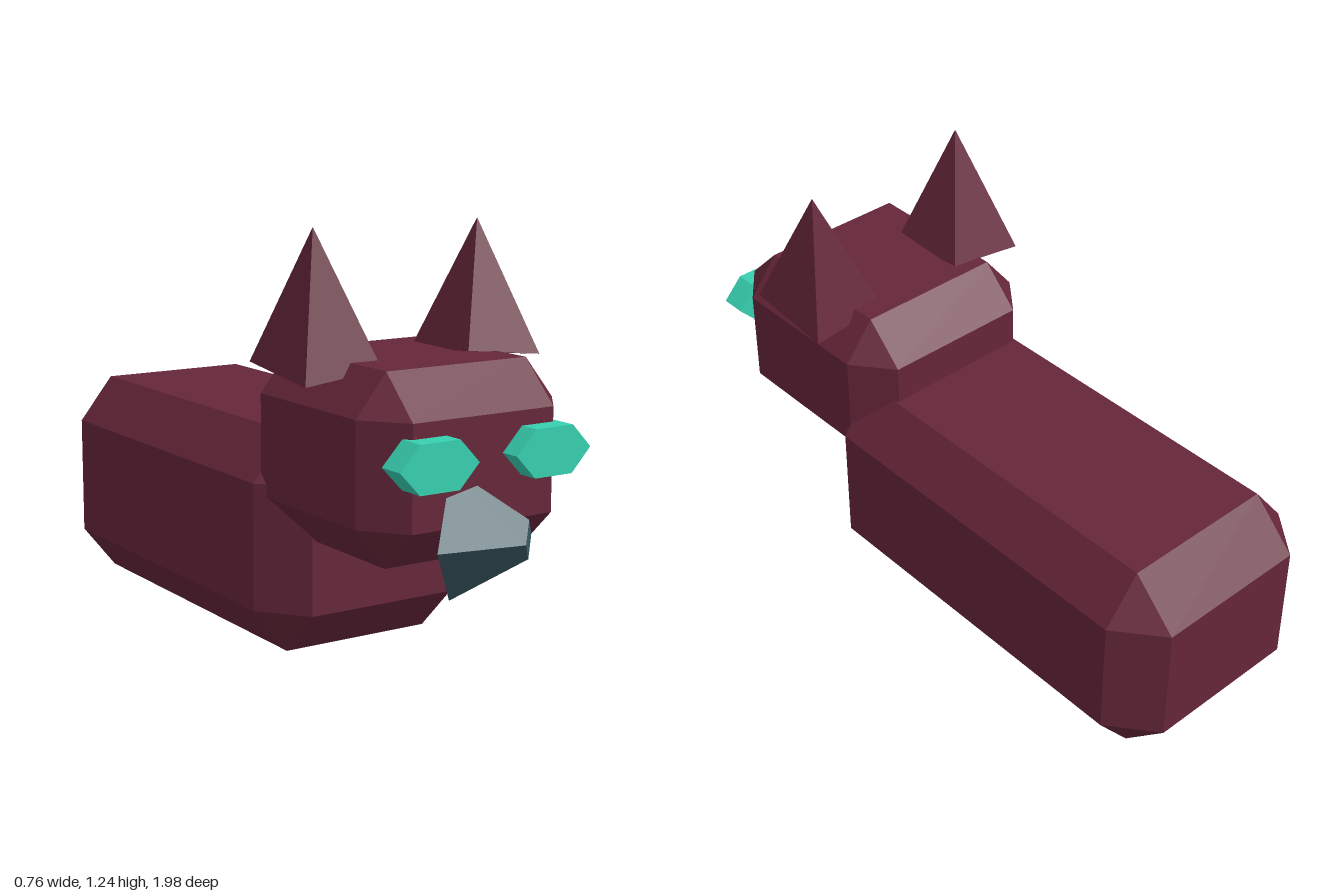
import * as THREE from 'three';
import { ConvexGeometry } from 'three/addons/geometries/ConvexGeometry.js';

const V = (x, y, z) => new THREE.Vector3(x, y, z);

function makeMaterial(name, color) {
  const material = new THREE.MeshStandardMaterial({ color, flatShading: true });
  material.name = name;
  return material;
}

// Box with all edges and corners cut: h = outer half sizes, c = half sizes of the flat faces
function chamferedBox(h, c) {
  const points = [];
  for (const sx of [-1, 1]) for (const sy of [-1, 1]) for (const sz of [-1, 1]) {
    points.push(
      V(sx * h[0], sy * c[1], sz * c[2]),
      V(sx * c[0], sy * h[1], sz * c[2]),
      V(sx * c[0], sy * c[1], sz * h[2])
    );
  }
  return new ConvexGeometry(points);
}

export function createModel() {
  const model = new THREE.Group();
  model.name = 'cat';
  const fur = makeMaterial('maroon fur', 0x66263a);
  const teal = makeMaterial('teal eyes', 0x37d0b0);
  const slate = makeMaterial('slate nose', 0x3b5c64);

  const add = (name, geometry, material, x, y, z) => {
    const mesh = new THREE.Mesh(geometry, material);
    mesh.name = name;
    mesh.position.set(x, y, z);
    model.add(mesh);
    return mesh;
  };

  // Body and head
  add('body', chamferedBox([0.35, 0.3225, 0.6925], [0.24, 0.185, 0.555]), fur, 0, 0.3225, -0.3075);
  add('head', chamferedBox([0.325, 0.2625, 0.355], [0.23, 0.145, 0.235]), fur, 0, 0.6175, 0.485);

  // Ears: tilted square pyramids, the right one turned half way round
  const ear = new ConvexGeometry([
    V(0.135, 0.887, 0.15), V(0.378, 0.86, 0.16),
    V(0.378, 0.828, -0.125), V(0.135, 0.856, -0.125),
    V(0.285, 1.235, -0.015),
  ]);
  add('leftEar', ear, fur, 0, 0, 0.44);
  add('rightEar', ear, fur, 0, 0, 0.44).rotation.y = Math.PI;

  // Eyes: flattened hexagonal discs
  const eye = new THREE.CylinderGeometry(0.125, 0.125, 0.08, 6)
    .rotateY(Math.PI / 2).rotateX(Math.PI / 2).scale(1, 0.61, 1);
  add('leftEye', eye, teal, 0.186, 0.655, 0.859);
  add('rightEye', eye, teal, -0.186, 0.655, 0.859);

  // Nose: four-sided taper turned to the left
  const nose = new THREE.CylinderGeometry(0.053, 0.18, 0.207, 4)
    .rotateX(Math.PI / 2).scale(1.13, 1, 1).rotateY(0.77);
  add('nose', nose, slate, 0.002, 0.44, 0.864);

  return model;
}
